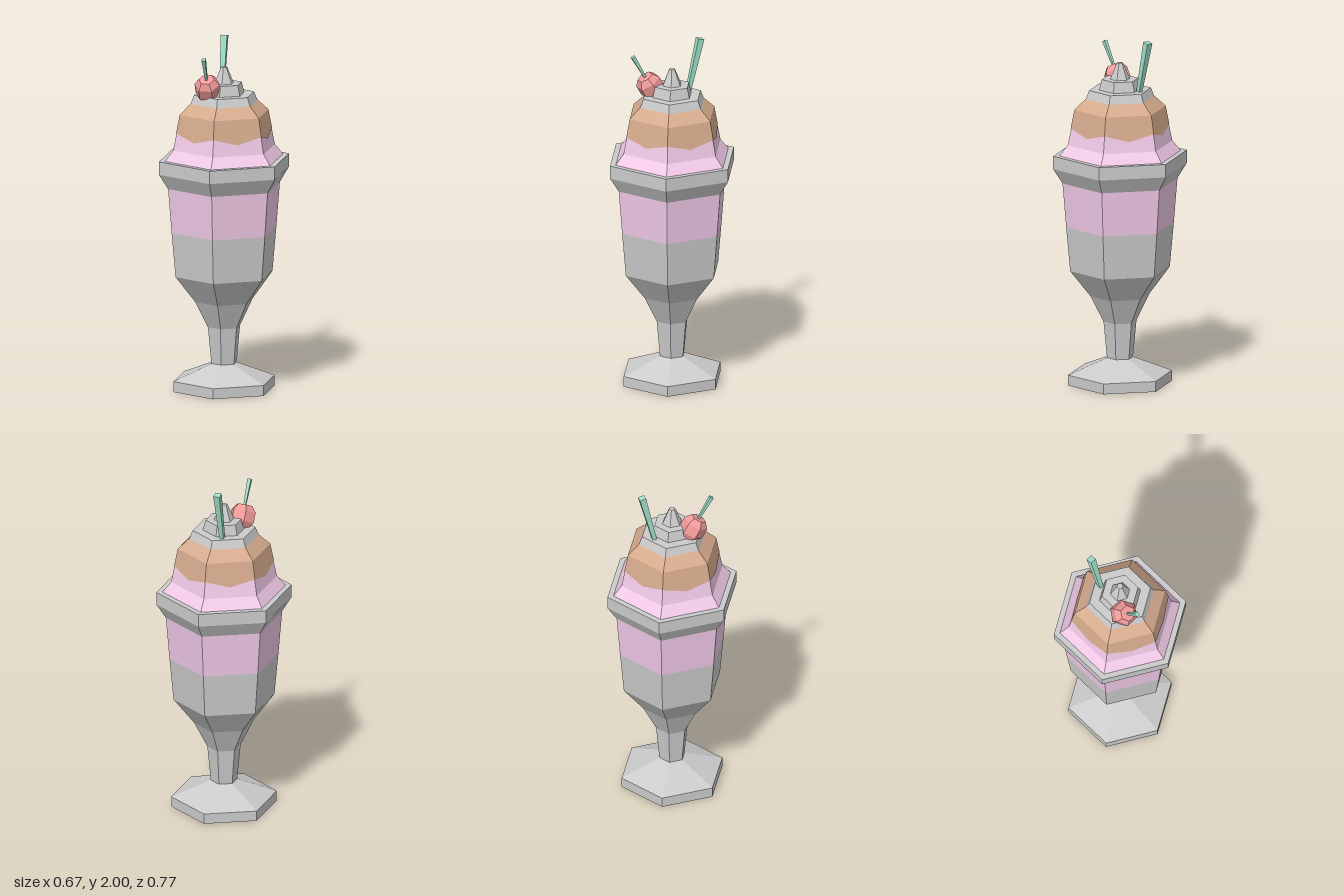
import * as THREE from 'three';

const mat = (color) => new THREE.MeshStandardMaterial({ color, flatShading: true });

export function createModel() {
  const model = new THREE.Group();
  const grey = mat(0xcccccc), pink = mat(0xf2cbe9), brown = mat(0xd7ac8e);
  const red = mat(0xf09a9a), green = mat(0xa0e0c8);

  const points = (profile) => profile.map(([r, y]) => new THREE.Vector2(r, y));

  function add(name, geometry, material, parent = model) {
    const mesh = new THREE.Mesh(geometry, material);
    mesh.name = name;
    parent.add(mesh);
    return mesh;
  }

  // Six-sided turned shape, corners on +z and -z; profile runs bottom to top
  const hex = (profile) => new THREE.LatheGeometry(points(profile), 6);

  // Square stick, tapered towards its lower end
  const stick = (top, bottom, length) =>
    new THREE.CylinderGeometry(top * Math.SQRT1_2, bottom * Math.SQRT1_2, length, 4, 1, false, Math.PI / 4);

  // Glass: foot, stem and lower bowl
  add('glassBase', hex([
    [0, 0], [0.3, 0], [0.3, 0.06], [0.075, 0.15], [0.095, 0.36],
    [0.17, 0.51], [0.287, 0.66], [0.31, 0.915],
  ]), grey);

  // Filling seen through the upper bowl
  add('fillingBand', hex([[0.31, 0.915], [0.331, 1.17]]), pink);

  // Flared rim with its flat lip
  add('glassRim', hex([[0.331, 1.17], [0.385, 1.255], [0.385, 1.33], [0.35, 1.33]]), grey);

  // Ice cream mound
  add('iceCream', hex([[0.35, 1.33], [0.301, 1.39], [0.26, 1.59], [0.195, 1.65]]), pink);

  // Sauce shell: twelve columns on the six faces, odd ones drip lower mid-face
  const sauceProfile = [[0.284, 1.487], [0.263, 1.592], [0.198, 1.652]];
  const sauce = new THREE.LatheGeometry(points(sauceProfile), 12);
  const p = sauce.attributes.position;
  for (let i = 0; i < p.count; i++) {
    const column = Math.floor(i / sauceProfile.length);
    if (column % 2 === 0) continue;
    const drips = i % sauceProfile.length === 0;
    const k = Math.cos(Math.PI / 6) * (drips ? 1.027 : 1);
    p.setXYZ(i, p.getX(i) * k, p.getY(i) - (drips ? 0.037 : 0), p.getZ(i) * k);
  }
  sauce.computeVertexNormals();
  add('sauce', sauce, brown);

  // Whipped cream in three tiers
  add('whippedCream', hex([
    [0.198, 1.65], [0.178, 1.7], [0.12, 1.7], [0.105, 1.76],
    [0.057, 1.76], [0.018, 1.853], [0, 1.853],
  ]), grey);

  // Cherry leaning forwards, with its stem
  const cherry = new THREE.Group();
  cherry.name = 'cherryWithStem';
  cherry.position.set(-0.072, 1.747, 0.102);
  cherry.rotation.x = Math.PI / 6;
  const fruit = hex([[0, -0.065], [0.045, -0.065], [0.073, -0.03], [0.073, 0.03], [0.045, 0.065], [0, 0.065]]);
  add('cherry', fruit.rotateY(Math.PI / 2), red, cherry);
  add('cherryStem', stick(0.022, 0.012, 0.16), green, cherry).position.y = 0.135;
  model.add(cherry);

  // Straw leaning backwards
  const straw = add('straw', stick(0.037, 0.022, 0.36).translate(0, -0.18, 0), green);
  straw.position.set(-0.038, 1.995, -0.192);
  straw.rotation.x = -0.24;

  return model;
}
